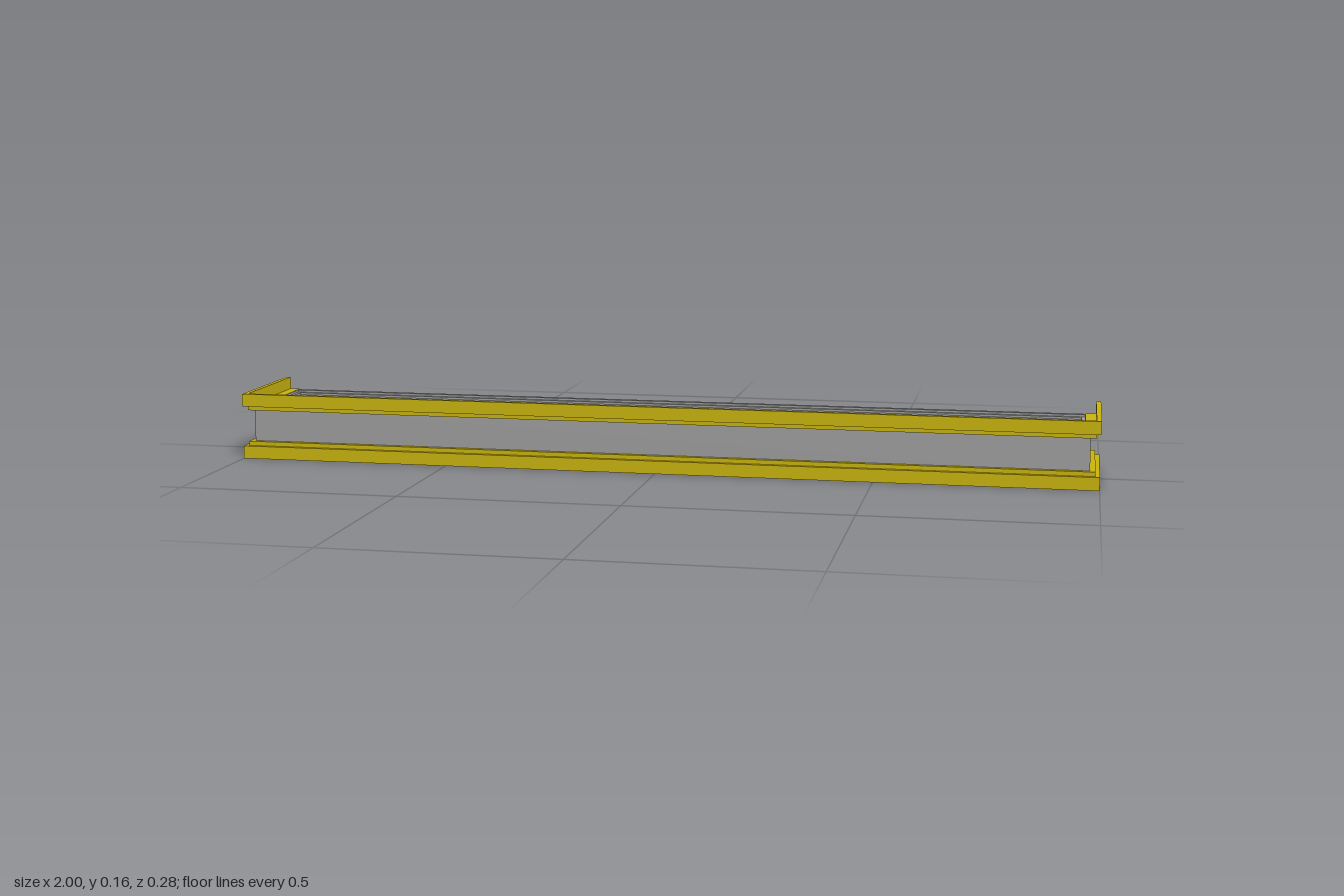
import * as THREE from 'three';

const pale = new THREE.MeshStandardMaterial({ color: 0xcccccc });
const grey = new THREE.MeshStandardMaterial({ color: 0xa0a0a0 });
const yellow = new THREE.MeshStandardMaterial({ color: 0xccb60d });
const green = new THREE.MeshStandardMaterial({ color: 0xa3b3a3 });

// Outer faces of the wall
const X = 0.978, FRONT = 0.12, BACK = -0.142;

// Extrude a plan outline (x, z) between two heights
function slab(name, shape, y0, y1, material) {
  const geo = new THREE.ExtrudeGeometry(shape, { depth: y1 - y0, bevelEnabled: false });
  geo.rotateX(Math.PI / 2).translate(0, y1, 0);
  const mesh = new THREE.Mesh(geo, material);
  mesh.name = name;
  return mesh;
}

const points = (list) => list.map(([x, z]) => new THREE.Vector2(x, z));

// Corners of the wall outline moved inwards by d
const corners = (d) => points([
  [-X + d, BACK + d], [X - d, BACK + d], [X - d, FRONT - d], [-X + d, FRONT - d],
]);

// Closed rectangular ring between two inward offsets
function ring(d0, d1) {
  const shape = new THREE.Shape(corners(d0));
  shape.holes.push(new THREE.Path(corners(d1)));
  return shape;
}

// Three-sided band round the ends and front, open at the back
function band(outer, inner) {
  const xo = X + outer, xi = X + inner, zo = FRONT + outer, zi = FRONT + inner;
  return new THREE.Shape(points([
    [-xo, BACK], [-xi, BACK], [-xi, zi], [xi, zi],
    [xi, BACK], [xo, BACK], [xo, zo], [-xo, zo],
  ]));
}

export function createModel() {
  const model = new THREE.Group();
  model.name = 'steppedFrame';

  // Wall stepping down towards the opening
  model.add(
    slab('outerWall', ring(0, 0.014), 0.03, 0.125, grey),
    slab('wallStep', ring(0.014, 0.022), 0.035, 0.12, grey),
    slab('middleWall', ring(0.022, 0.045), 0.04, 0.115, grey),
    slab('innerStep', ring(0.045, 0.05), 0.046, 0.109, grey),
    slab('innerWall', ring(0.05, 0.055), 0.052, 0.103, pale),
  );

  // Angle-section trim, the same above and below: upright lip and flat flange
  model.add(
    slab('upperTrimLip', band(0.022, 0.011), 0.125, 0.155, yellow),
    slab('upperTrimFlange', band(0.012, -0.013), 0.115, 0.126, yellow),
    slab('lowerTrimLip', band(0.022, 0.011), 0, 0.03, yellow),
    slab('lowerTrimFlange', band(0.012, -0.013), 0.029, 0.04, yellow),
  );

  // Thin liners wrapping the inner corners at each end
  const d = 0.055, t = 0.002, reach = 0.065;
  const xo = X - d, z0 = BACK + d, z1 = FRONT - d;
  for (const s of [-1, 1]) {
    const liner = new THREE.Shape(points([
      [s * (xo - reach), z0], [s * xo, z0], [s * xo, z1], [s * (xo - reach), z1],
      [s * (xo - reach), z1 - t], [s * (xo - t), z1 - t],
      [s * (xo - t), z0 + t], [s * (xo - reach), z0 + t],
    ]));
    model.add(slab(s > 0 ? 'leftEndLiner' : 'rightEndLiner', liner, 0.055, 0.1, green));
  }
  return model;
}
